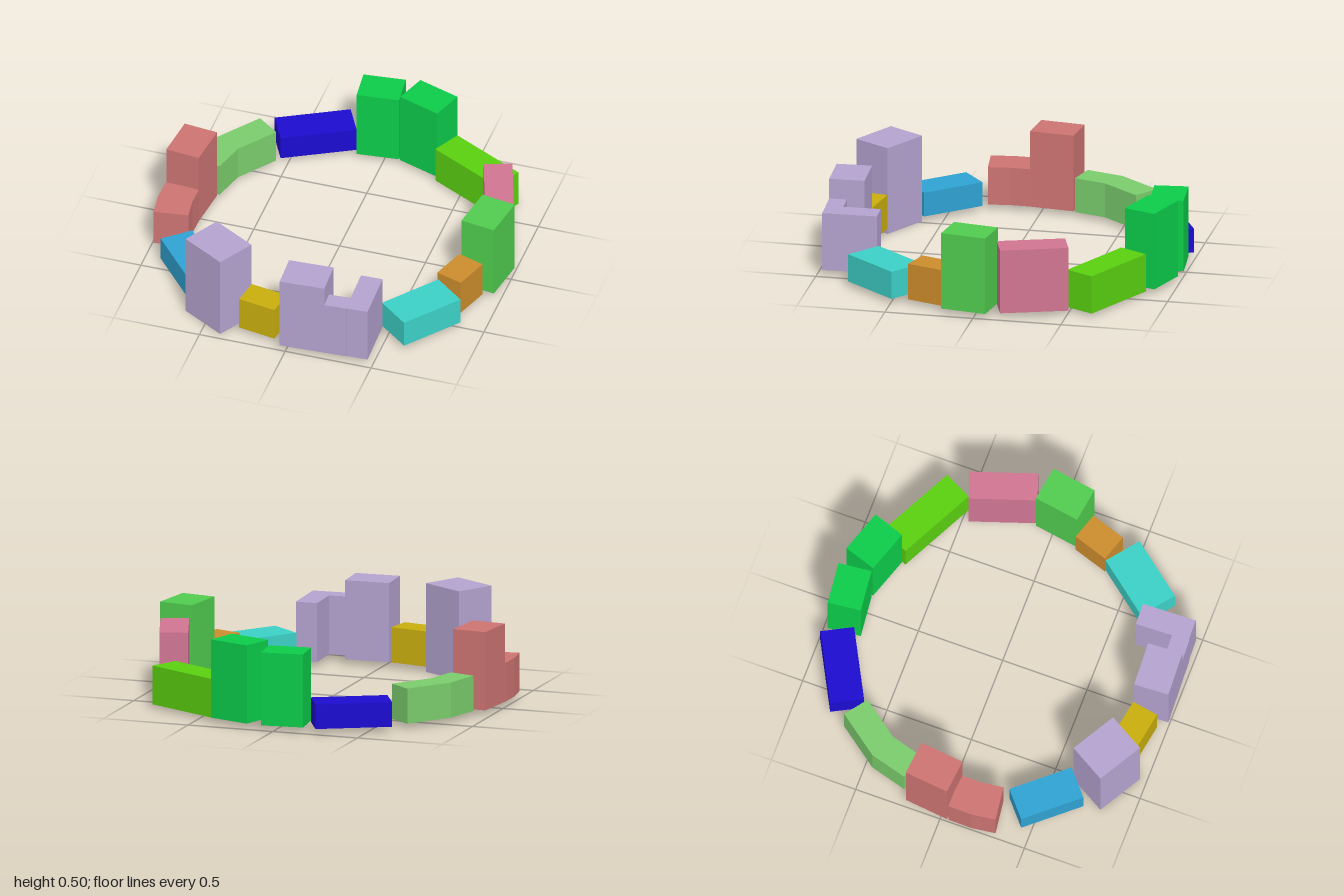
import * as THREE from 'three';

export function createModel() {
  const group = new THREE.Group();
  group.name = 'blockRing';

  // Block of constant width following a centre line of [x, z] points, mitred at bends
  function block(name, color, top, width, path, bottom = 0.03) {
    const pts = path.map(([x, z]) => new THREE.Vector2(x, -z));
    const normals = pts.slice(1).map((p, i) => {
      const d = p.clone().sub(pts[i]).normalize();
      return new THREE.Vector2(-d.y, d.x);
    });
    const edge = (side) => pts.map((p, i) => {
      const a = normals[Math.max(i - 1, 0)];
      const b = normals[Math.min(i, normals.length - 1)];
      const miter = a.clone().add(b).divideScalar(1 + a.dot(b));
      return p.clone().addScaledVector(miter, side * width / 2);
    });
    const shape = new THREE.Shape([...edge(-1), ...edge(1).reverse()]);
    const geo = new THREE.ExtrudeGeometry(shape, { depth: top - bottom, bevelEnabled: false });
    geo.rotateX(-Math.PI / 2).translate(0, bottom, 0);
    const mesh = new THREE.Mesh(geo, new THREE.MeshStandardMaterial({ color, flatShading: true }));
    mesh.name = name;
    group.add(mesh);
  }

  const lavender = 0xb4a3cf, green = 0x0ccc4a, red = 0xcc7472;

  // Back of the ring
  block('darkBlueBlock', 0x1c0cd0, 0.17, 0.19, [[-0.585, -0.705], [-0.205, -0.905]]);
  block('backGreenTower', green, 0.445, 0.19, [[-0.16, -0.88], [0.08, -0.905]]);
  block('backLeftGreenTower', green, 0.475, 0.19, [[0.128, -0.895], [0.37, -0.813]]);
  block('limeBlock', 0x5ad010, 0.24, 0.175, [[0.375, -0.78], [0.8, -0.563]], 0.02);

  // Left side
  block('pinkBlock', 0xd07592, 0.4, 0.16, [[0.77, -0.485], [0.893, -0.123]]);
  block('sideGreenTower', 0x50cc4e, 0.475, 0.2, [[0.9, -0.085], [0.86, 0.173]]);
  block('orangeBlock', 0xcc8c2c, 0.235, 0.16, [[0.823, 0.18], [0.758, 0.378]], 0.025);
  block('tealBlock', 0x3cd0c6, 0.19, 0.22, [[0.775, 0.423], [0.54, 0.72]]);

  // Front: tower joined to a lower L-shaped wing, then two single blocks
  block('frontTower', lavender, 0.48, 0.2, [[-0.038, 0.895], [0.218, 0.883]]);
  block('frontWingBar', lavender, 0.365, 0.1, [[0.22, 0.933], [0.346, 0.927]]);
  block('frontWingArm', lavender, 0.365, 0.125, [[0.398, 0.663], [0.408, 0.972]]);
  block('goldBlock', 0xc9ae0e, 0.23, 0.153, [[-0.285, 0.833], [-0.068, 0.87]]);
  block('lavenderTower', lavender, 0.505, 0.235, [[-0.58, 0.715], [-0.333, 0.858]], 0);

  // Right side, with two bent blocks
  block('skyBlueBlock', 0x2fa2d2, 0.17, 0.19, [[-0.83, 0.383], [-0.59, 0.663]]);
  block('redTower', red, 0.475, 0.197, [[-0.873, -0.203], [-0.9, 0.05]]);
  block('redWing', red, 0.25, 0.197, [[-0.9, 0.05], [-0.902, 0.18], [-0.885, 0.31]]);
  block('bentGreenBlock', 0x7acc6c, 0.23, 0.155, [[-0.62, -0.64], [-0.785, -0.42], [-0.84, -0.223]]);

  return group;
}
